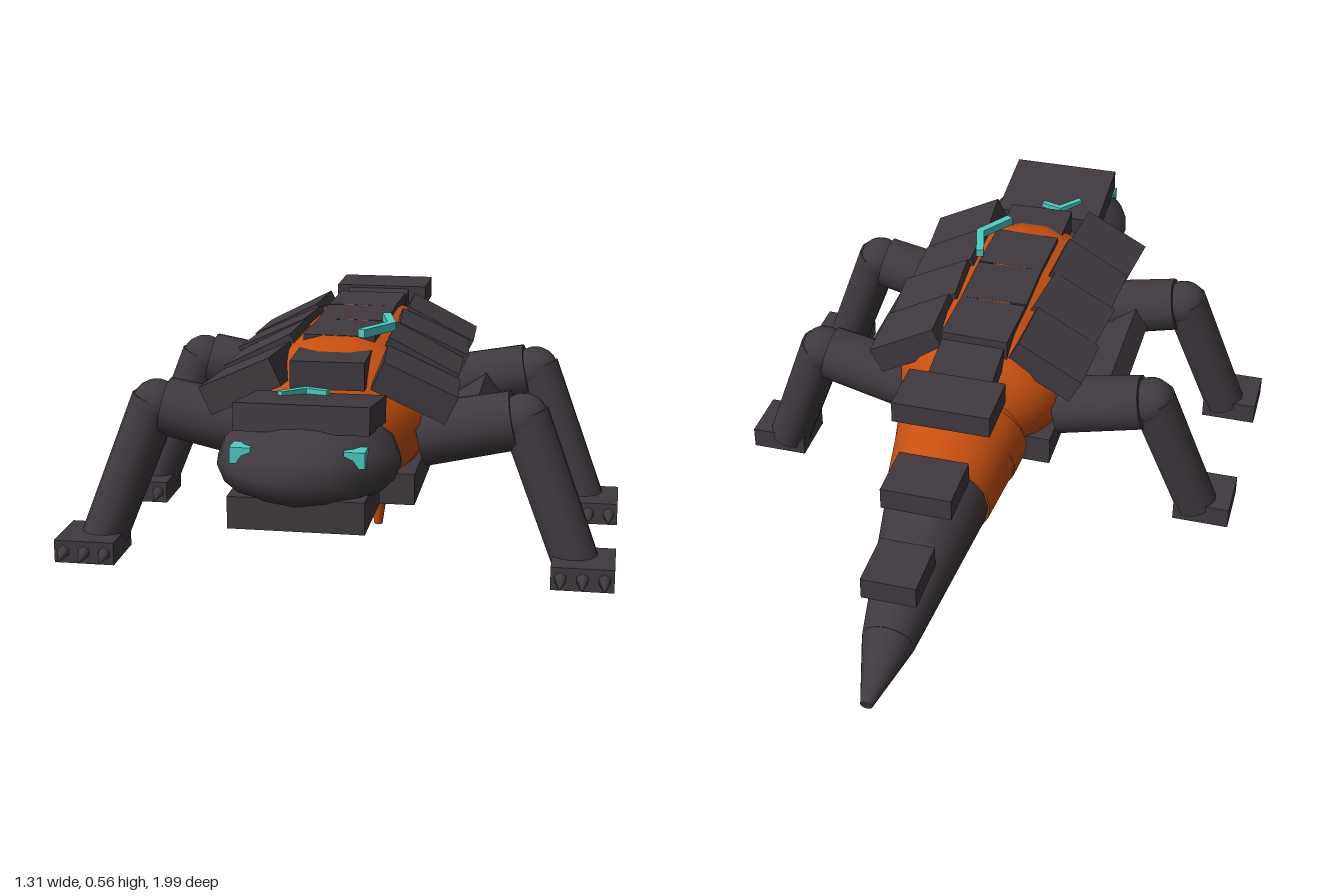
import * as THREE from 'three';

const mat = (name, color) => {
  const m = new THREE.MeshStandardMaterial({ color });
  m.name = name;
  return m;
};

export function createModel() {
  const model = new THREE.Group();
  model.name = 'lavaLizard';
  const rock = mat('darkRock', 0x403a40);
  const lava = mat('orangeHide', 0xc8500f);
  const glow = mat('tealCrystal', 0x4ecdc4);

  const add = (name, geo, material, pos = [0, 0, 0], rot = [0, 0, 0], parent = model) => {
    const m = new THREE.Mesh(geo, material);
    m.name = name;
    m.position.set(...pos);
    m.rotation.set(...rot);
    parent.add(m);
    return m;
  };
  const box = (name, size, pos, rot, material = rock, parent = model) =>
    add(name, new THREE.BoxGeometry(...size), material, pos, rot, parent);

  // tapered cylinder running from point a to point b
  const limb = (name, a, b, ra, rb, material, parent = model, sides = 16) => {
    const A = new THREE.Vector3(...a), B = new THREE.Vector3(...b);
    const dir = B.clone().sub(A);
    const m = add(name, new THREE.CylinderGeometry(rb, ra, dir.length(), sides), material,
      A.clone().add(B).multiplyScalar(0.5).toArray(), [0, 0, 0], parent);
    m.quaternion.setFromUnitVectors(new THREE.Vector3(0, 1, 0), dir.normalize());
    return m;
  };

  // thin crystal vein following a few points
  const vein = (name, pts, w) => {
    for (let i = 0; i < pts.length - 1; i++) {
      const A = new THREE.Vector3(...pts[i]), B = new THREE.Vector3(...pts[i + 1]);
      const m = box(name, [w, w, A.distanceTo(B) + w * 0.6], A.clone().add(B).multiplyScalar(0.5).toArray(), [0, 0, 0], glow);
      m.lookAt(B);
    }
  };

  // torso
  const torsoGeo = new THREE.CapsuleGeometry(0.2, 0.4, 6, 18);
  torsoGeo.rotateX(Math.PI / 2);
  torsoGeo.scale(1.15, 0.9, 1);
  add('torso', torsoGeo, lava, [0, 0.36, 0.2]);

  // belly armour and hanging spikes
  box('bellyPlate', [0.38, 0.075, 0.58], [0, 0.197, 0.205]);
  for (const [x, z] of [[0.085, 0.355], [-0.105, 0.15], [0.04, 0]])
    limb('bellySpike', [x, 0.18, z], [x, 0.062, z], 0.028, 0.01, lava, model, 10);

  // back armour: central row plus a sloping row on each side
  const rows = [0.5, 0.32, 0.145, -0.03];
  rows.forEach((z, i) => {
    const y = i === 0 ? 0.485 : 0.505;
    box('spinePlate', [0.17, 0.065, 0.172], [0, y, z], [0, (i % 2 ? -1 : 1) * 0.02, 0]);
    for (const s of [-1, 1])
      box('shoulderPlate', [0.185, 0.07, 0.172], [s * (i === 0 ? 0.192 : 0.18), i === 0 ? 0.452 : 0.464, z],
        [0, s * (i % 2 ? 0.04 : 0.09), -s * (0.44 + 0.04 * (i % 2))]);
  });
  box('hipPlate', [0.16, 0.05, 0.17], [0, 0.492, -0.185], [0, 0.07, 0]);

  // flank armour
  for (const s of [-1, 1])
    box('flankPlate', [0.14, 0.06, 0.34], [s * 0.275, 0.305, 0.215], [0, 0, s * 0.6]);

  // head
  const headGeo = new THREE.SphereGeometry(0.2, 16, 8);
  headGeo.scale(1, 0.52, 1);
  add('head', headGeo, rock, [0, 0.358, 0.795]);
  box('jaw', [0.29, 0.07, 0.205], [0, 0.28, 0.852]);
  box('browPlate', [0.29, 0.06, 0.24], [0, 0.45, 0.768], [-0.15, 0, 0]);
  for (const s of [-1, 1]) box('eye', [0.045, 0.035, 0.045], [s * 0.12, 0.398, 0.912], [0, 0, 0], glow);

  // tail
  limb('tailBase', [0, 0.33, -0.23], [0, 0.305, -0.3], 0.165, 0.153, lava, model, 20).visible = true;
  limb('tailBase', [0, 0.33, -0.23], [0, 0.285, -0.445], 0.162, 0.13, lava, model, 20);
  limb('tailMiddle', [0, 0.287, -0.44], [0, 0.18, -0.838], 0.127, 0.062, rock);
  limb('tailTip', [0, 0.18, -0.838], [0, 0.135, -0.996], 0.062, 0.014, rock);
  for (const [w, y, z] of [[0.24, 0.497, -0.34], [0.17, 0.4, -0.54], [0.13, 0.313, -0.75]])
    box('tailPlate', [w, 0.054, 0.145], [0, y, z]);

  // legs
  for (const s of [-1, 1]) for (const [label, dz] of [['frontLeg', 0], ['backLeg', -0.47]]) {
    const leg = new THREE.Group();
    leg.name = label;
    leg.position.z = dz;
    model.add(leg);
    const knee = [s * 0.435, 0.365, 0.445];
    limb('upperLeg', [s * 0.2, 0.315, 0.435], [s * 0.415, 0.36, 0.44], 0.075, 0.07, rock, leg);
    add('knee', new THREE.SphereGeometry(0.06, 16, 10), rock, knee, [0, 0, 0], leg);
    limb('lowerLeg', [s * 0.437, 0.375, 0.445], [s * 0.567, 0.035, 0.482], 0.058, 0.055, rock, leg);
    box('foot', [0.145, 0.055, 0.145], [s * 0.585, 0.031, 0.512], [0, 0, 0], rock, leg);
    for (const k of [-1, 0, 1])
      limb('claw', [s * 0.585 + k * 0.05, 0.033, 0.575], [s * 0.585 + k * 0.05, 0.022, 0.628], 0.018, 0.002, rock, leg, 6);
  }

  // crystal veins on the back and brow
  vein('backVein', [[0.09, 0.552, 0.255], [0.115, 0.552, 0.35], [0.06, 0.552, 0.435]], 0.02);
  vein('browVein', [[-0.075, 0.475, 0.72], [-0.03, 0.472, 0.67], [0.018, 0.472, 0.685]], 0.015);

  return model;
}
